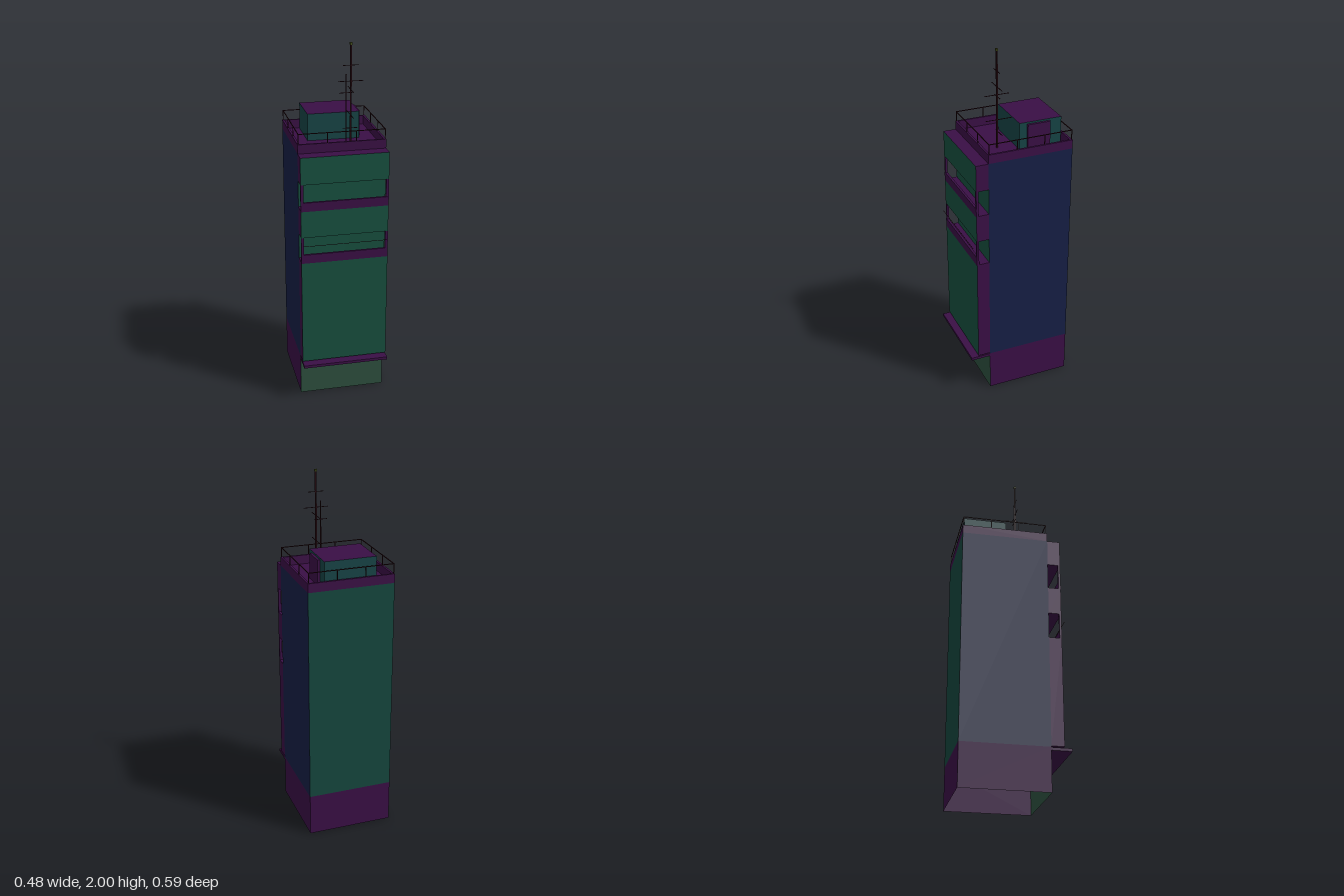
import * as THREE from 'three';

const mat = (color) => new THREE.MeshStandardMaterial({ color, side: THREE.DoubleSide });
const purple = mat(0x3a0f45), green = mat(0x17503f), paleGreen = mat(0x2d503f);
const backGreen = mat(0x15463e), blue = mat(0x161f45), teal = mat(0x164446);
const metal = mat(0x2a0a12), tipGreen = mat(0x45501a);

// Plan of the tower and of the projecting bay
const W = 0.24, BACK = -0.297, FRONT = 0.185, BAY = 0.256;
const MID = (BACK + FRONT) / 2, DEPTH = FRONT - BACK;
const BASE = 0.24, ROOF = 1.45, TOP = 1.5;

export function createModel() {
  const model = new THREE.Group();
  model.name = 'towerBlock';

  // Box given by its minimum and maximum on each axis
  const box = (name, x, y, z, material, parent = model) => {
    const geo = new THREE.BoxGeometry(x[1] - x[0], y[1] - y[0], z[1] - z[0]);
    const mesh = new THREE.Mesh(geo, material);
    mesh.position.set((x[0] + x[1]) / 2, (y[0] + y[1]) / 2, (z[0] + z[1]) / 2);
    mesh.name = name;
    parent.add(mesh);
    return mesh;
  };

  // Single upright wall, turned about y
  const wall = (name, width, y0, y1, x, z, turn, material) => {
    const mesh = new THREE.Mesh(new THREE.PlaneGeometry(width, y1 - y0), material);
    mesh.position.set(x, (y0 + y1) / 2, z);
    mesh.rotation.y = turn;
    mesh.name = name;
    model.add(mesh);
  };

  // Thin square bar between two points
  const bar = (name, a, b, size, material, parent) => {
    const p = new THREE.Vector3(...a), q = new THREE.Vector3(...b);
    const mesh = new THREE.Mesh(new THREE.BoxGeometry(size, size, p.distanceTo(q)), material);
    mesh.position.copy(p).add(q).multiplyScalar(0.5);
    mesh.quaternion.setFromUnitVectors(new THREE.Vector3(0, 0, 1), q.clone().sub(p).normalize());
    mesh.name = name;
    parent.add(mesh);
  };

  // Hollow tower walls, open underneath: ground storey, then upper storeys
  const storeys = [
    ['base', 0, BASE, paleGreen, purple, purple],
    ['upper', BASE, ROOF, green, backGreen, blue],
  ];
  for (const [name, y0, y1, front, back, side] of storeys) {
    wall(name + 'FrontWall', 2 * W, y0, y1, 0, FRONT, 0, front);
    wall(name + 'BackWall', 2 * W, y0, y1, 0, BACK, Math.PI, back);
    for (const s of [-1, 1]) wall(name + 'SideWall', DEPTH, y0, y1, s * W, MID, s * Math.PI / 2, side);
  }

  // Flat roof and its parapet
  const roof = new THREE.Mesh(new THREE.PlaneGeometry(2 * W, DEPTH), purple);
  roof.rotation.x = -Math.PI / 2;
  roof.position.set(0, ROOF, MID);
  roof.name = 'roof';
  model.add(roof);
  const outline = (w, z0, z1, Type) => new Type([[-w, z0], [w, z0], [w, z1], [-w, z1]]
    .map(([x, z]) => new THREE.Vector2(x, -z)));
  const rim = outline(W, BACK, FRONT, THREE.Shape);
  rim.holes.push(outline(W - 0.012, BACK + 0.012, FRONT - 0.012, THREE.Path));
  const parapet = new THREE.Mesh(
    new THREE.ExtrudeGeometry(rim, { depth: TOP - ROOF, bevelEnabled: false }), purple);
  parapet.rotation.x = -Math.PI / 2;
  parapet.position.y = ROOF;
  parapet.name = 'parapet';
  model.add(parapet);

  // Projecting bay: three closed parts with green fronts
  const bayFaces = [purple, purple, purple, purple, green, purple];
  for (const [y0, y1] of [[0.245, 0.855], [1.0, 1.155], [1.3, ROOF]])
    box('bay', [-W, W], [y0, y1], [FRONT, BAY], bayFaces);

  // Two balconies between them: breastwork and corner posts
  for (const y of [0.85, 1.15]) {
    box('balconyFront', [-W, W], [y, y + 0.05], [BAY - 0.012, BAY + 0.001], purple);
    for (const s of [-1, 1]) {
      const x = s * (W - 0.0075);
      box('balconyPost', [x - 0.0075, x + 0.0075], [y + 0.05, y + 0.15], [BAY - 0.012, BAY], purple);
    }
  }
  bar('balconyRail', [-0.23, 0.957, 0.274], [0.23, 0.957, 0.274], 0.002, metal, model);

  // Entrance canopy
  box('canopy', [-W, W], [0.222, 0.238], [FRONT, 0.297], purple);

  // Roof hut with its door
  box('roofHut', [-0.145, 0.143], [ROOF, 1.6], [-0.274, -0.032],
    [teal, teal, purple, purple, teal, teal]);
  box('roofHutDoor', [0.143, 0.157], [ROOF, 1.59], [-0.205, -0.075], purple);

  // Roof railing
  const railing = new THREE.Group();
  railing.name = 'roofRailing';
  model.add(railing);
  const rw = W - 0.005, rz0 = BACK + 0.005, rz1 = FRONT - 0.006, railY = 1.555;
  const corners = [[-rw, rz0], [rw, rz0], [rw, rz1], [-rw, rz1]];
  corners.forEach(([x, z], i) => {
    const [x2, z2] = corners[(i + 1) % 4];
    bar('topRail', [x, railY, z], [x2, railY, z2], 0.004, metal, railing);
    for (let k = 0; k < 3; k++) {
      const px = x + (x2 - x) * k / 3, pz = z + (z2 - z) * k / 3;
      bar('railPost', [px, TOP, pz], [px, railY, pz], 0.004, metal, railing);
    }
  });

  // Aerial masts with cross arms
  const aerial = new THREE.Group();
  aerial.name = 'aerial';
  model.add(aerial);
  const mx = 0.072, mz = 0.067, sx = 0.049, sz = 0.056;
  bar('mainMast', [mx, ROOF, mz], [mx, 2, mz], 0.008, metal, aerial);
  bar('smallMast', [sx, ROOF, sz], [sx, 1.83, sz], 0.005, metal, aerial);
  box('mastTip', [mx - 0.006, mx + 0.006], [1.988, 2], [mz - 0.006, mz + 0.006], tipGreen, aerial);
  for (const [y, half] of [[1.795, 0.068], [1.88, 0.042]])
    bar('crossArm', [mx - half, y, mz], [mx + half, y, mz], 0.003, metal, aerial);
  for (const [y, z0, z1] of [[1.75, 0, 0.138], [1.61, -0.02, 0.132]])
    bar('crossArm', [mx, y, z0], [mx, y, z1], 0.003, metal, aerial);
  for (const [y, x0, x1] of [[1.73, 0.012, 0.086], [1.535, 0.03, 0.114]])
    bar('crossArm', [x0, y, sz], [x1, y, sz - 0.001], 0.003, metal, aerial);

  return model;
}
